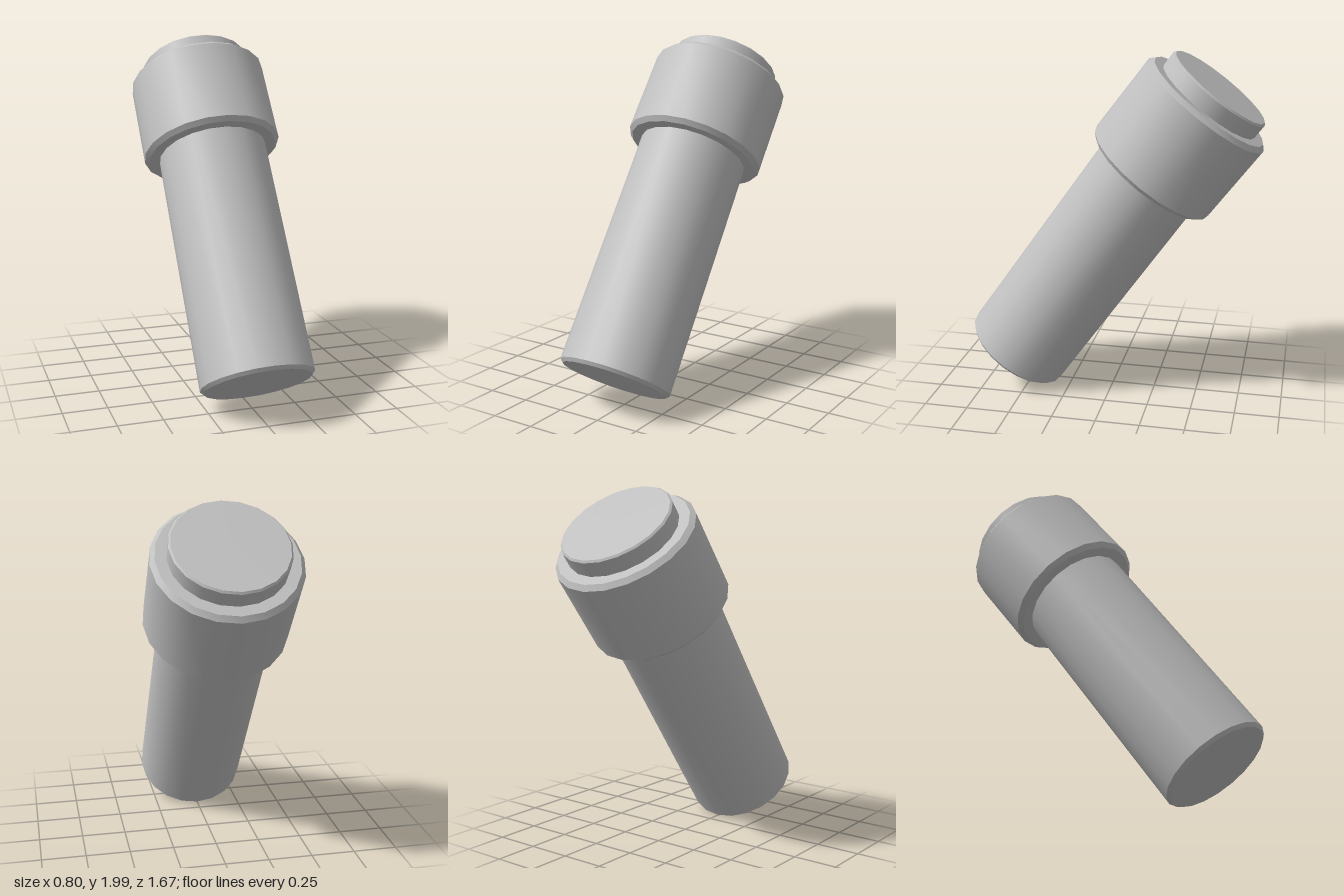
import * as THREE from 'three';
import { toCreasedNormals } from 'three/addons/utils/BufferGeometryUtils.js';

const SIDES = 20;
const grey = new THREE.MeshStandardMaterial({ color: 0xc0c0c0 });
grey.name = 'light grey';

// Solid cylinder with bevelled rims, rising from its own origin and leaning back
function bevelledCylinder(name, radius, length, bevel, tilt, y, z) {
  const profile = [
    [0, 0], [radius - bevel, 0], [radius, bevel],
    [radius, length - bevel], [radius - bevel, length], [0, length],
  ].map(([r, h]) => new THREE.Vector2(r, h));
  const geometry = toCreasedNormals(new THREE.LatheGeometry(profile, SIDES), 0.6);
  const mesh = new THREE.Mesh(geometry, grey);
  mesh.name = name;
  mesh.position.set(0, y, z);
  mesh.rotation.x = -THREE.MathUtils.degToRad(tilt);
  return mesh;
}

export function createModel() {
  const model = new THREE.Group();
  model.name = 'tiltedTube';

  // Long shaft, ending inside the collar
  model.add(bevelledCylinder('shaft', 0.315, 1.5, 0.018, 35.4, 0.182, 0.593));

  // Wide collar and the end cap share a slightly steeper lean
  const headTilt = 37.3;
  model.add(bevelledCylinder('collar', 0.4, 0.53, 0.025, headTilt, 1.312, -0.21));
  model.add(bevelledCylinder('endCap', 0.315, 0.363, 0.01, headTilt, 1.523, -0.37));

  return model;
}
